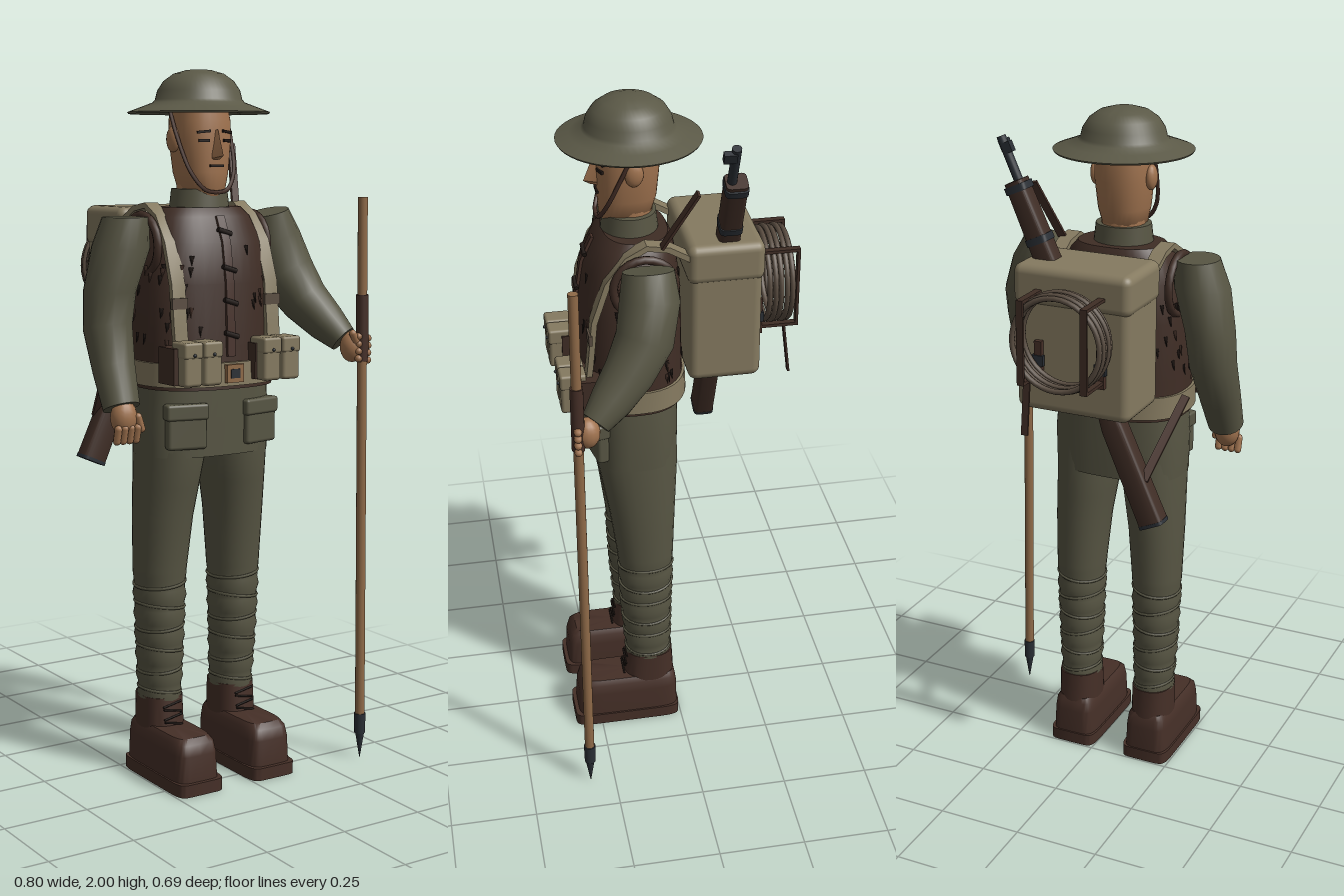
import * as THREE from 'three';
import { toCreasedNormals } from 'three/addons/utils/BufferGeometryUtils.js';
import { RoundedBoxGeometry } from 'three/addons/geometries/RoundedBoxGeometry.js';

const mat = (name, color) => Object.assign(new THREE.MeshStandardMaterial({ color }), { name });
const M = {
  wool: mat('olive wool', 0x575543), helmet: mat('helmet olive', 0x5b5947), leather: mat('jerkin leather', 0x3f2d25),
  boot: mat('boot brown', 0x452f27), canvas: mat('canvas', 0x857a60), skin: mat('skin', 0xa0734f),
  wood: mat('pale wood', 0x8f6a48), metal: mat('dark metal', 0x2a2f35), wire: mat('coil brown', 0x5a4d41),
  dark: mat('near black', 0x201814),
};
const V = (x, y, z) => new THREE.Vector3(x, y, z);
const CX = -0.048; // body centre line

function add(parent, name, geo, material, x = 0, y = 0, z = 0, rx = 0, ry = 0, rz = 0) {
  const m = new THREE.Mesh(geo, material);
  m.name = name;
  m.position.set(x, y, z);
  m.rotation.set(rx, ry, rz);
  parent.add(m);
  return m;
}
const box = (w, h, d, r = 0) => r ? new RoundedBoxGeometry(w, h, d, 3, r) : new THREE.BoxGeometry(w, h, d);
const cyl = (a, b, h, n = 16) => new THREE.CylinderGeometry(a, b, h, n);

// Skin a list of equal-length rings and cap both ends
function skinRings(rings, crease = 0.7) {
  const n = rings[0].length, pos = [], idx = [];
  rings.forEach(r => r.forEach(p => pos.push(p.x, p.y, p.z)));
  for (let i = 0; i < rings.length - 1; i++) for (let j = 0; j < n; j++) {
    const a = i * n + j, c = i * n + (j + 1) % n;
    idx.push(a, a + n, c, a + n, c + n, c);
  }
  [0, rings.length - 1].forEach((i, end) => {
    const c = rings[i].reduce((s, p) => s.add(p), V(0, 0, 0)).divideScalar(n);
    const k = pos.push(c.x, c.y, c.z) / 3 - 1;
    for (let j = 0; j < n; j++) {
      const a = i * n + j, b = i * n + (j + 1) % n;
      idx.push(k, end ? b : a, end ? a : b);
    }
  });
  const g = new THREE.BufferGeometry();
  g.setAttribute('position', new THREE.Float32BufferAttribute(pos, 3));
  g.setIndex(idx);
  return toCreasedNormals(g, crease);
}
const pw = (c, p) => Math.sign(c) * Math.abs(c) ** (2 / p);
// Horizontal superellipse sections [y, x, z, rx, rz]
function loft(sections, p = 2, n = 32) {
  return skinRings(sections.map(([y, x, z, rx, rz]) => Array.from({ length: n }, (_, j) => {
    const a = j / n * Math.PI * 2;
    return V(x + rx * pw(Math.cos(a), p), y, z + rz * pw(Math.sin(a), p));
  })));
}
// Sections following a path; radii are [ru, rv]; square gives a flat strap
function limb(points, radii, { u, square = false, n = square ? 4 : 20 } = {}) {
  const k = square ? Math.SQRT2 : 1;
  return skinRings(points.map((c, i) => {
    const t = points[Math.min(i + 1, points.length - 1)].clone().sub(points[Math.max(i - 1, 0)]).normalize();
    const U = u ? u.clone() : t.clone().cross(V(0, 0, 1)).normalize(), W = U.clone().cross(t).normalize();
    const [a, b] = radii[i] ?? radii[0];
    return Array.from({ length: n }, (_, j) => {
      const q = (j + (square ? 0.5 : 0)) / n * Math.PI * 2;
      return c.clone().addScaledVector(U, a * k * Math.cos(q)).addScaledVector(W, b * k * Math.sin(q));
    });
  }), square ? 0.5 : 0.9);
}
const tube = (pts, r, n = 24) => new THREE.TubeGeometry(new THREE.CatmullRomCurve3(pts), n, r, 6);
// Interpolate a section at height y, and find the front surface depth there
function sectionAt(s, y) {
  let i = 0;
  while (i < s.length - 2 && y > s[i + 1][0]) i++;
  const t = (y - s[i][0]) / (s[i + 1][0] - s[i][0]);
  return s[i].map((v, k) => v + (s[i + 1][k] - v) * t);
}
function frontZ(s, y, x, p) {
  const [, , z, rx, rz] = sectionAt(s, y);
  return z + rz * Math.max(0, 1 - Math.abs(x / rx) ** p) ** (1 / p);
}

const TORSO = [[1.13, 0, 0.125, 0.2, 0.155], [1.25, 0, 0.122, 0.197, 0.148], [1.42, 0, 0.12, 0.195, 0.143],
  [1.53, 0, 0.115, 0.175, 0.13], [1.6, 0, 0.105, 0.148, 0.108], [1.625, 0, 0.1, 0.125, 0.09]];
const HEAD = [[1.655, 0, 0.13, 0.04, 0.058], [1.675, 0, 0.123, 0.06, 0.073], [1.72, 0, 0.118, 0.071, 0.081],
  [1.8, 0, 0.115, 0.08, 0.086], [1.86, 0, 0.113, 0.081, 0.086], [1.93, 0, 0.11, 0.07, 0.075]];

function buildHead(g) {
  add(g, 'head', loft(HEAD, 2.3), M.skin);
  add(g, 'neck', cyl(0.062, 0.066, 0.1), M.skin, 0, 1.65, 0.11);
  add(g, 'collar', loft([[1.59, 0, 0.112, 0.09, 0.083], [1.675, 0, 0.112, 0.08, 0.074]]), M.wool);
  const nose = skinRings([[1.755, 0.02, 0.022], [1.765, 0.021, 0.04], [1.835, 0.009, 0.012]].map(([y, w, d]) =>
    [V(w, y, 0.185), V(0, y, 0.195 + d), V(-w, y, 0.185)]), 0.3);
  add(g, 'nose', nose, M.skin);
  add(g, 'mouth', box(0.042, 0.007, 0.008), M.dark, 0, 1.738, 0.2);
  for (const s of [1, -1]) {
    const z = y => frontZ(HEAD, y, 0.037, 2.3);
    add(g, 'eye', box(0.03, 0.009, 0.008), M.dark, s * 0.037, 1.806, z(1.806), 0, s * 0.35);
    add(g, 'eyebrow', box(0.038, 0.007, 0.009), M.dark, s * 0.037, 1.83, z(1.83), 0, s * 0.35, -s * 0.1);
    add(g, 'ear', new THREE.SphereGeometry(1, 14, 10), M.skin, s * 0.084, 1.81, 0.11).scale.set(0.016, 0.036, 0.026);
    add(g, 'chinStrap', tube([V(s * 0.09, 1.895, 0.1), V(s * 0.088, 1.82, 0.135), V(s * 0.07, 1.72, 0.18),
      V(s * 0.035, 1.672, 0.2), V(0, 1.665, 0.203)], 0.006), M.boot);
  }
  // Wide-brimmed steel helmet, listed from the underside outward and up
  const profile = [[0.001, 1.925], [0.1, 1.9], [0.15, 1.888], [0.195, 1.879], [0.198, 1.884], [0.16, 1.898], [0.128, 1.91],
    [0.121, 1.918], [0.115, 1.942], [0.098, 1.968], [0.07, 1.988], [0.035, 1.998], [0, 2]];
  add(g, 'helmet', toCreasedNormals(new THREE.LatheGeometry(profile.map(p => new THREE.Vector2(...p)), 48), 0.6), M.helmet, 0, 0, 0.109);
}

function buildTorso(g) {
  add(g, 'jerkin', loft(TORSO, 2.5, 40), M.leather);
  add(g, 'belt', loft([[1.14, 0, 0.125, 0.207, 0.163], [1.205, 0, 0.125, 0.206, 0.16]], 2.5, 40), M.canvas);
  add(g, 'buckle', box(0.055, 0.05, 0.015), M.wood, 0, 1.175, 0.29);
  add(g, 'buckleTongue', box(0.03, 0.025, 0.008), M.metal, 0, 1.175, 0.296);
  const SKIRT = [[0.94, 0, 0.118, 0.197, 0.128], [1.05, 0, 0.118, 0.199, 0.13], [1.15, 0, 0.12, 0.19, 0.13]];
  add(g, 'tunicSkirt', loft(SKIRT, 2.7, 40), M.wool);
  // Front placket with toggles
  const ys = [1.22, 1.3, 1.42, 1.53, 1.6];
  add(g, 'placket', limb(ys.map(y => V(0, y, frontZ(TORSO, y, 0, 2.5))), [[0.013, 0.008]], { u: V(1, 0, 0), square: true }), M.boot);
  for (const y of [1.28, 1.37, 1.46, 1.56])
    add(g, 'toggle', cyl(0.007, 0.007, 0.045, 8), M.dark, 0, y, frontZ(TORSO, y, 0, 2.5) + 0.009, 0, 0, Math.PI / 2 - 0.3);
  // Fleece tufts scattered over the jerkin
  let seed = 7;
  const rnd = () => (seed = (seed * 16807) % 2147483647) / 2147483647;
  const tuft = new THREE.ConeGeometry(0.008, 0.03, 5);
  for (let i = 0; i < 110; i++) {
    const y = 1.23 + rnd() * 0.3, a = rnd() * Math.PI * 2;
    const [, , z, rx, rz] = sectionAt(TORSO, y);
    if (Math.abs(Math.cos(a)) < 0.3) continue;
    add(g, 'fleeceTuft', tuft, i % 3 ? M.dark : M.leather, rx * pw(Math.cos(a), 2.5), y, z + rz * pw(Math.sin(a), 2.5), Math.PI - 0.3 * Math.sin(a), 0, -0.3 * Math.cos(a));
  }
  for (const s of [1, -1]) {
    // Braces running over the shoulder to the pack
    const path = [[0.15, 1.2, 0.262], [0.152, 1.3, 0.25], [0.152, 1.42, 0.238], [0.15, 1.53, 0.2], [0.145, 1.6, 0.145],
      [0.145, 1.63, 0.09], [0.145, 1.62, 0.03], [0.145, 1.58, -0.04]];
    add(g, 'brace', limb(path.map(([x, y, z]) => V(s * x, y, z)), [[0.021, 0.008]], { u: V(1, 0, 0), square: true }), M.canvas);
    add(g, 'braceBuckle', box(0.05, 0.03, 0.01), M.wire, s * 0.152, 1.37, 0.25);
    // Ammunition pouches
    add(g, 'pouchBacking', box(0.14, 0.1, 0.08), M.leather, s * 0.132, 1.205, 0.262);
    for (const x of [0.097, 0.16]) {
      add(g, 'pouch', box(0.057, 0.115, 0.07, 0.01), M.canvas, s * x, 1.21, 0.303);
      add(g, 'pouchFlap', box(0.06, 0.045, 0.074, 0.008), M.canvas, s * x, 1.25, 0.303);
      add(g, 'pouchStud', new THREE.SphereGeometry(0.005, 8, 6), M.metal, s * x, 1.238, 0.341);
    }
    // Tunic pockets
    add(g, 'pocket', box(0.115, 0.12, 0.035, 0.01), M.wool, s * 0.12, 1.025, 0.232, 0, s * 0.2);
    add(g, 'pocketFlap', box(0.124, 0.045, 0.042, 0.008), M.wool, s * 0.12, 1.07, 0.233, 0, s * 0.2);
    add(g, 'armholeTrim', new THREE.TorusGeometry(0.085, 0.012, 8, 24), M.leather, s * 0.18, 1.52, 0.1, 0, Math.PI / 2);
  }
}

function buildLeg(g, s) {
  // Trousers with wrapped ridges below the knee
  const shape = [[0.17, s * 0.122, 0.09, 0.057, 0.066], [0.4, s * 0.125, 0.097, 0.066, 0.076], [0.6, s * 0.125, 0.098, 0.073, 0.083],
    [0.76, s * 0.119, 0.105, 0.081, 0.097], [0.94, s * 0.104, 0.116, 0.093, 0.118], [1.08, s * 0.1, 0.118, 0.09, 0.115]];
  const ys = [];
  for (let i = 0; i <= 22; i++) ys.push(0.17 + i * 0.02);
  const rings = [...ys, 0.68, 0.76, 0.85, 0.94, 1.08].map((y, i) => {
    const q = sectionAt(shape, y), d = i < 21 ? (i % 3 === 0 ? 0.003 : -0.002) : 0;
    return [y, q[1], q[2], q[3] + d, q[4] + d];
  });
  add(g, 'trouserLeg', loft(rings, 2.1, 28), M.wool);
  for (let i = 0; i < 6; i++) {
    const y = 0.25 + i * 0.063, q = sectionAt(shape, y);
    const t = add(g, 'legWrapEdge', new THREE.TorusGeometry(1, 0.05, 6, 28), M.wool, q[1], y, q[2], Math.PI / 2, (i % 2 ? 1 : -1) * 0.12);
    t.scale.set(q[3], q[4], 0.09);
  }
  const x = s * 0.123;
  add(g, 'bootSole', loft([[0, x, 0.167, 0.075, 0.163], [0.036, x, 0.167, 0.075, 0.163]], 8, 40), M.boot);
  add(g, 'bootFoot', loft([[0.036, x, 0.163, 0.07, 0.155], [0.11, x, 0.162, 0.067, 0.153], [0.14, x, 0.16, 0.063, 0.147],
    [0.155, x, 0.155, 0.053, 0.135]], 6, 40), M.boot);
  add(g, 'bootShaft', loft([[0.14, x, 0.092, 0.062, 0.078], [0.235, x, 0.09, 0.061, 0.071]], 2.4), M.boot);
  for (let i = 0; i < 4; i++)
    add(g, 'lace', cyl(0.003, 0.003, 0.06, 6), M.dark, x, 0.162 + i * 0.018, 0.172 - i * 0.003, 0, 0, Math.PI / 2 + (i % 2 ? 0.2 : -0.2));
}

function buildArms(g) {
  add(g, 'rightSleeve', limb([V(-0.28, 1.6, 0.1), V(-0.295, 1.52, 0.1), V(-0.325, 1.4, 0.09), V(-0.335, 1.3, 0.095), V(-0.342, 1.19, 0.14), V(-0.345, 1.09, 0.185)],
    [[0.062, 0.07], [0.08, 0.082], [0.072, 0.076], [0.068, 0.07], [0.06, 0.058], [0.052, 0.05]], { u: V(-1, 0, 0) }), M.wool);
  add(g, 'leftSleeve', limb([V(0.192, 1.605, 0.1), V(0.212, 1.53, 0.1), V(0.245, 1.43, 0.12), V(0.28, 1.35, 0.17), V(0.315, 1.29, 0.225), V(0.342, 1.245, 0.27)],
    [[0.058, 0.07], [0.08, 0.082], [0.085, 0.08], [0.07, 0.07], [0.058, 0.058], [0.042, 0.042]]), M.wool);
  // Relaxed right hand
  add(g, 'rightHand', new THREE.SphereGeometry(1, 16, 12), M.skin, -0.345, 1.065, 0.197).scale.set(0.038, 0.05, 0.034);
  const finger = new THREE.CapsuleGeometry(0.011, 0.035, 4, 8);
  for (let i = 0; i < 4; i++) add(g, 'rightFinger', finger, M.skin, -0.375 + i * 0.02, 1.02, 0.215, 0.25);
  add(g, 'rightThumb', finger, M.skin, -0.307, 1.05, 0.218, 0, 0, 0.3);
  // Left hand closed on the staff
  add(g, 'leftHand', new THREE.SphereGeometry(1, 16, 12), M.skin, 0.355, 1.225, 0.295).scale.set(0.035, 0.045, 0.035);
  for (let i = 0; i < 4; i++) add(g, 'leftFinger', finger, M.skin, 0.372, 1.19 + i * 0.021, 0.325, 0.3, 0, Math.PI / 2 - 0.2);
  add(g, 'leftThumb', finger, M.skin, 0.345, 1.25, 0.322, 0, 0, 0.5);
}

function buildStaff(g) {
  const staff = new THREE.Group();
  staff.name = 'walkingStaff';
  staff.position.set(0.385, 0, 0.322);
  staff.rotation.z = 0.012;
  g.add(staff);
  add(staff, 'shaft', cyl(0.014, 0.014, 1.57), M.wood, 0, 0.865, 0);
  add(staff, 'grip', cyl(0.018, 0.018, 0.19), M.boot, 0, 1.28, 0);
  add(staff, 'ferrule', cyl(0.017, 0.016, 0.06), M.metal, 0, 0.105, 0);
  add(staff, 'spike', cyl(0.014, 0.001, 0.08), M.metal, 0, 0.04, 0);
}

function buildPack(g) {
  add(g, 'packBody', box(0.342, 0.41, 0.205, 0.025), M.canvas, 0, 1.41, -0.127);
  add(g, 'packFlap', box(0.352, 0.115, 0.215, 0.025), M.canvas, 0, 1.565, -0.128);
  for (let i = 0; i < 5; i++)
    add(g, 'wireCoil', new THREE.TorusGeometry(0.13 + (i % 2) * 0.004, 0.008, 8, 40), M.wire, 0, 1.44, -0.26 - i * 0.016);
  for (const s of [1, -1]) {
    const x = s * 0.094;
    add(g, 'coilStrap', box(0.02, 0.225, 0.008), M.leather, x, 1.44, -0.345);
    for (const y of [1.555, 1.325]) add(g, 'coilStrapEnd', box(0.02, 0.009, 0.12), M.leather, x, y, -0.289);
    add(g, 'packTab', box(0.022, 0.11, 0.018), M.boot, x, 1.36, -0.236);
    add(g, 'packBuckle', box(0.034, 0.03, 0.012), M.metal, x, 1.36, -0.242);
  }
  add(g, 'strapTail', box(0.02, 0.16, 0.006), M.leather, 0.094, 1.25, -0.318, 0.12);
}

function buildRifle(g) {
  const r = new THREE.Group();
  r.name = 'rifle';
  r.position.set(-0.262, 0.885, -0.14);
  r.rotation.z = -0.42;
  g.add(r);
  const bar = (name, m, ...s) => add(r, name, loft(s.map(([y, w, d, x = 0]) => [y, x, 0, w, d]), 5, 24), m);
  bar('butt', M.leather, [0.008, 0.038, 0.03], [0.3, 0.034, 0.03], [0.38, 0.024, 0.024], [0.45, 0.026, 0.026]);
  bar('buttPlate', M.metal, [0, 0.039, 0.031], [0.01, 0.039, 0.031]);
  bar('handguard', M.leather, [0.45, 0.032, 0.03], [0.8, 0.032, 0.03], [1.03, 0.028, 0.03]);
  for (const y of [0.85, 1.0]) bar('barrelBand', M.metal, [y, 0.034, 0.032], [y + 0.02, 0.034, 0.032]);
  add(r, 'barrel', cyl(0.013, 0.013, 0.16), M.metal, 0, 1.075, 0.012);
  add(r, 'frontSight', box(0.018, 0.03, 0.035), M.metal, 0.006, 1.13, 0.028);
  add(r, 'bayonetLug', box(0.022, 0.03, 0.02), M.metal, -0.012, 1.12, 0.008);
  // Sling ends reaching round to the body
  const sling = (a, b) => add(g, 'sling', limb([a, b], [[0.012, 0.004]], { square: true }), M.boot);
  sling(V(-0.285, 1.22, 0.02), V(-0.235, 1.02, -0.155));
  sling(V(0.115, 1.63, 0.05), V(0.16, 1.8, -0.04));
}

export function createModel() {
  const model = new THREE.Group();
  model.name = 'soldier';
  const body = new THREE.Group();
  body.name = 'body';
  body.position.x = CX;
  model.add(body);
  buildHead(body);
  buildTorso(body);
  for (const s of [1, -1]) buildLeg(body, s);
  buildPack(body);
  buildArms(model);
  buildStaff(model);
  buildRifle(model);
  return model;
}
